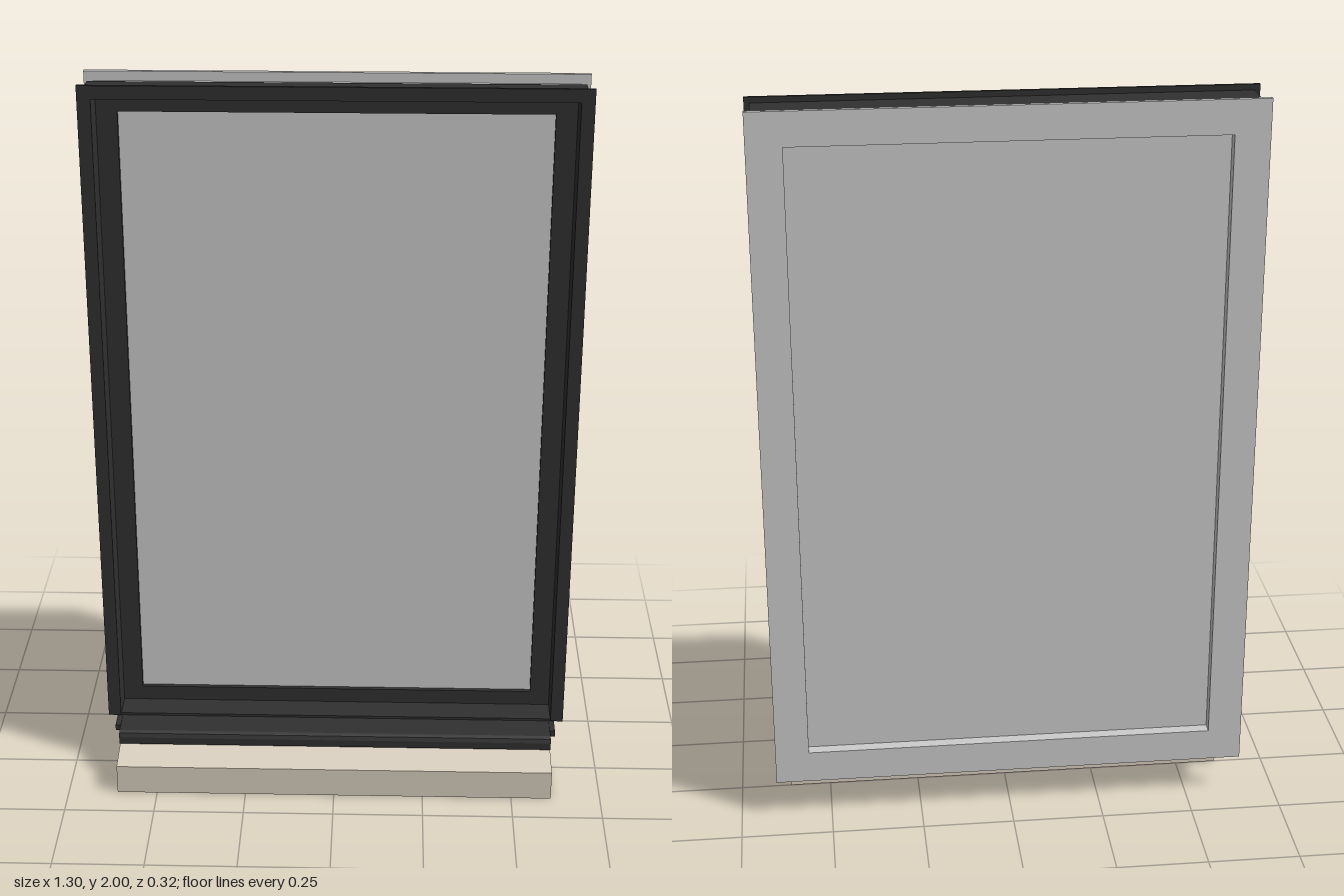
import * as THREE from 'three';

const grey = new THREE.MeshStandardMaterial({ color: 0xcccccc });
const dark = new THREE.MeshStandardMaterial({ color: 0x303030 });
const stone = new THREE.MeshStandardMaterial({ color: 0xdbd0c0 });

function rect(Type, hw, y0, y1) {
  const p = new Type();
  p.moveTo(-hw, y0);
  p.lineTo(hw, y0);
  p.lineTo(hw, y1);
  p.lineTo(-hw, y1);
  p.closePath();
  return p;
}

export function createModel() {
  const model = new THREE.Group();

  const add = (name, geometry, material) => {
    const mesh = new THREE.Mesh(geometry, material);
    mesh.name = name;
    model.add(mesh);
  };

  // Rectangular ring: outer and inner are [halfWidth, bottom, top]
  const ring = (name, outer, inner, z0, z1, material) => {
    const s = rect(THREE.Shape, ...outer);
    s.holes.push(rect(THREE.Path, ...inner));
    const g = new THREE.ExtrudeGeometry(s, { depth: z1 - z0, bevelEnabled: false });
    add(name, g.translate(0, 0, z0), material);
  };

  // Side profile of [z, y] points swept along x
  const sweep = (name, points, x0, x1, material) => {
    const s = new THREE.Shape(points.map(([z, y]) => new THREE.Vector2(z, y)));
    const g = new THREE.ExtrudeGeometry(s, { depth: x1 - x0, bevelEnabled: false });
    add(name, g.rotateY(-Math.PI / 2).translate(x1, 0, 0), material);
  };

  // Front flange, open at the bottom
  const flange = new THREE.Shape([
    [-0.65, 0.155], [-0.615, 0.155], [-0.615, 1.965], [0.615, 1.965],
    [0.615, 0.155], [0.65, 0.155], [0.65, 2], [-0.65, 2],
  ].map(([x, y]) => new THREE.Vector2(x, y)));
  add('frontFlange', new THREE.ExtrudeGeometry(flange, { depth: 0.009, bevelEnabled: false })
    .translate(0, 0, -0.011), dark);

  // Outer frame with deep reveal, and the sash at its back
  ring('outerFrame', [0.636, 0.15, 1.985], [0.615, 0.157, 1.965], -0.102, -0.011, dark);
  ring('sash', [0.62, 0.15, 1.97], [0.56, 0.2, 1.91], -0.105, -0.088, dark);

  // Inner lining in two steps, and the flat trim on the room side
  ring('innerLining', [0.62, 0.145, 1.97], [0.558, 0.2, 1.91], -0.13, -0.105, grey);
  ring('liningStep', [0.625, 0.14, 1.975], [0.558, 0.2, 1.91], -0.145, -0.13, grey);
  ring('backTrim', [0.65, 0.11, 2], [0.558, 0.2, 1.91], -0.158, -0.145, grey);

  // Pane
  add('glass', new THREE.BoxGeometry(1.122, 1.714, 0.026).translate(0, 1.055, -0.113), grey);

  // Sill pan with a rounded drip nose
  sweep('sillPan', [
    [-0.1, 0.134], [-0.1, 0.157], [-0.06, 0.151], [0.064, 0.147], [0.073, 0.142],
    [0.078, 0.131], [0.078, 0.11], [0.073, 0.11], [0.072, 0.129], [0.068, 0.136],
    [0.06, 0.14], [-0.05, 0.141], [-0.07, 0.134],
  ], -0.612, 0.612, dark);
  for (const side of [-1, 1]) {
    const cap = new THREE.BoxGeometry(0.015, 0.018, 0.145);
    add('sillEndCap', cap.translate(side * 0.618, 0.142, -0.028), dark);
  }
  add('sillUpstand', new THREE.BoxGeometry(1.22, 0.03, 0.005).translate(0, 0.127, 0.002), grey);

  // Sloped stone sill
  sweep('stoneSill', [[0, 0], [0.158, 0], [0.158, 0.085], [0, 0.113]], -0.612, 0.612, stone);

  return model;
}
